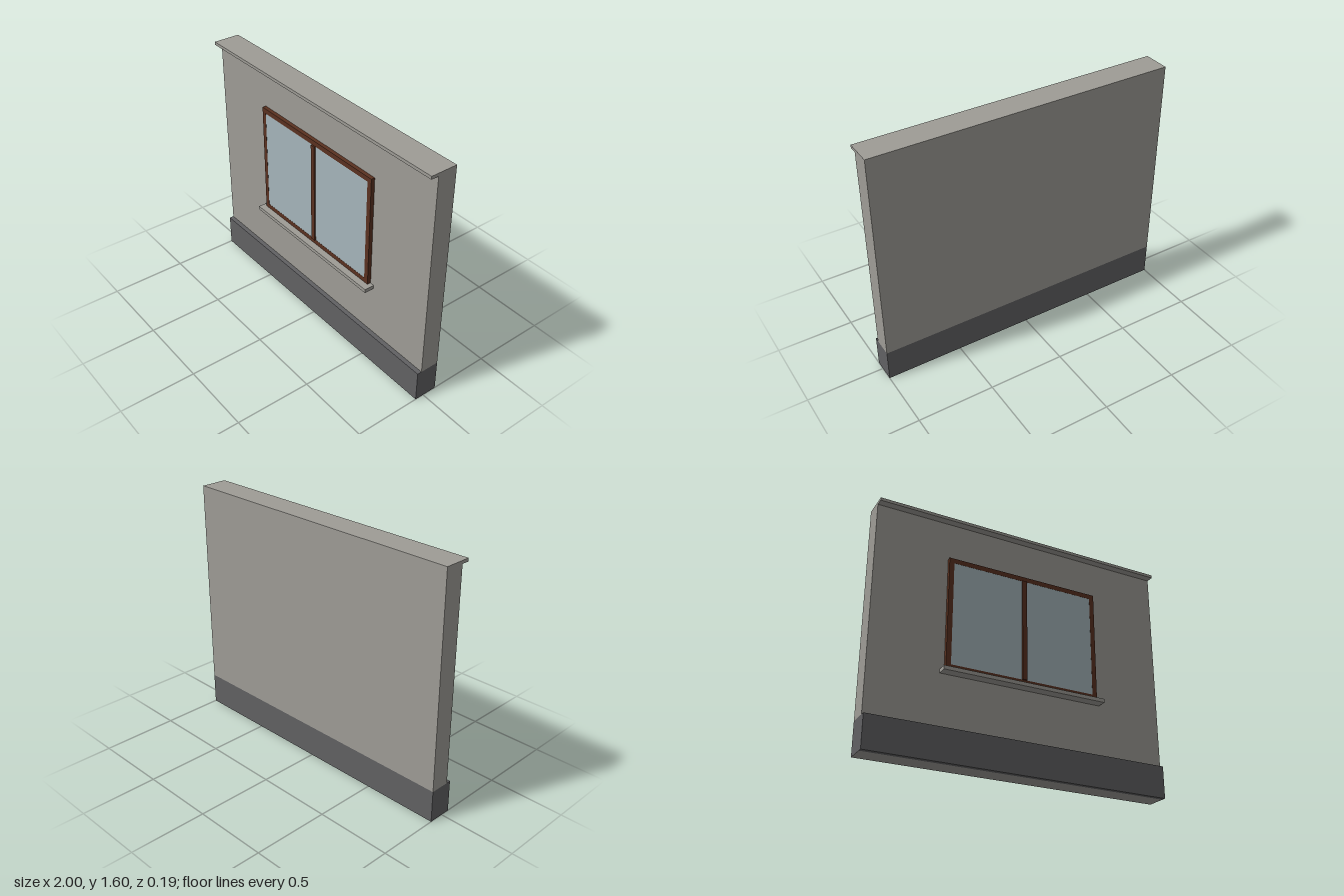
import * as THREE from 'three';

const paint = (name, color) => {
  const m = new THREE.MeshStandardMaterial({ color });
  m.name = name;
  return m;
};

export function createModel() {
  const plaster = paint('plaster', 0x9e9c96);
  const stone = paint('plinthStone', 0x616163);
  const wood = paint('frameWood', 0x5a3120);
  const glass = paint('glass', 0xa5b5ba);

  const model = new THREE.Group();
  model.name = 'wallWithWindow';

  // Box given by its limits on each axis
  const box = (name, material, [x0, x1], [y0, y1], [z0, z1], parent = model) => {
    const mesh = new THREE.Mesh(new THREE.BoxGeometry(x1 - x0, y1 - y0, z1 - z0), material);
    mesh.position.set((x0 + x1) / 2, (y0 + y1) / 2, (z0 + z1) / 2);
    mesh.name = name;
    parent.add(mesh);
    return mesh;
  };

  const back = -0.097, face = 0.03, full = [-1, 1];

  // Wall, projecting coping and plinth; the wall core shows underneath
  box('wall', plaster, full, [0.21, 1.58], [back, face]);
  box('coping', plaster, full, [1.58, 1.6], [back, 0.08]);
  box('plinthCore', [stone, stone, stone, plaster, stone, stone], full, [0, 0.21], [back, face]);
  box('plinthFront', stone, full, [0, 0.21], [face, 0.06]);

  // Window sill
  box('windowSill', plaster, [-0.55, 0.55], [0.55, 0.575], [face, 0.097]);

  // Window frame with two panes nearly flush with it
  const win = new THREE.Group();
  win.name = 'window';
  model.add(win);
  const outline = new THREE.Shape();
  outline.moveTo(-0.522, 0.577).lineTo(0.522, 0.577).lineTo(0.522, 1.326).lineTo(-0.522, 1.326).closePath();
  const opening = new THREE.Path();
  opening.moveTo(-0.49, 0.608).lineTo(-0.49, 1.294).lineTo(0.49, 1.294).lineTo(0.49, 0.608).closePath();
  outline.holes.push(opening);
  const frame = new THREE.Mesh(
    new THREE.ExtrudeGeometry(outline, { depth: 0.025, bevelEnabled: false }), wood);
  frame.position.z = face;
  frame.name = 'windowFrame';
  win.add(frame);
  box('mullion', wood, [-0.016, 0.016], [0.608, 1.294], [face, 0.064], win);
  box('rightPane', glass, [-0.49, -0.016], [0.608, 1.294], [0.046, 0.054], win);
  box('leftPane', glass, [0.016, 0.49], [0.608, 1.294], [0.046, 0.054], win);

  return model;
}
